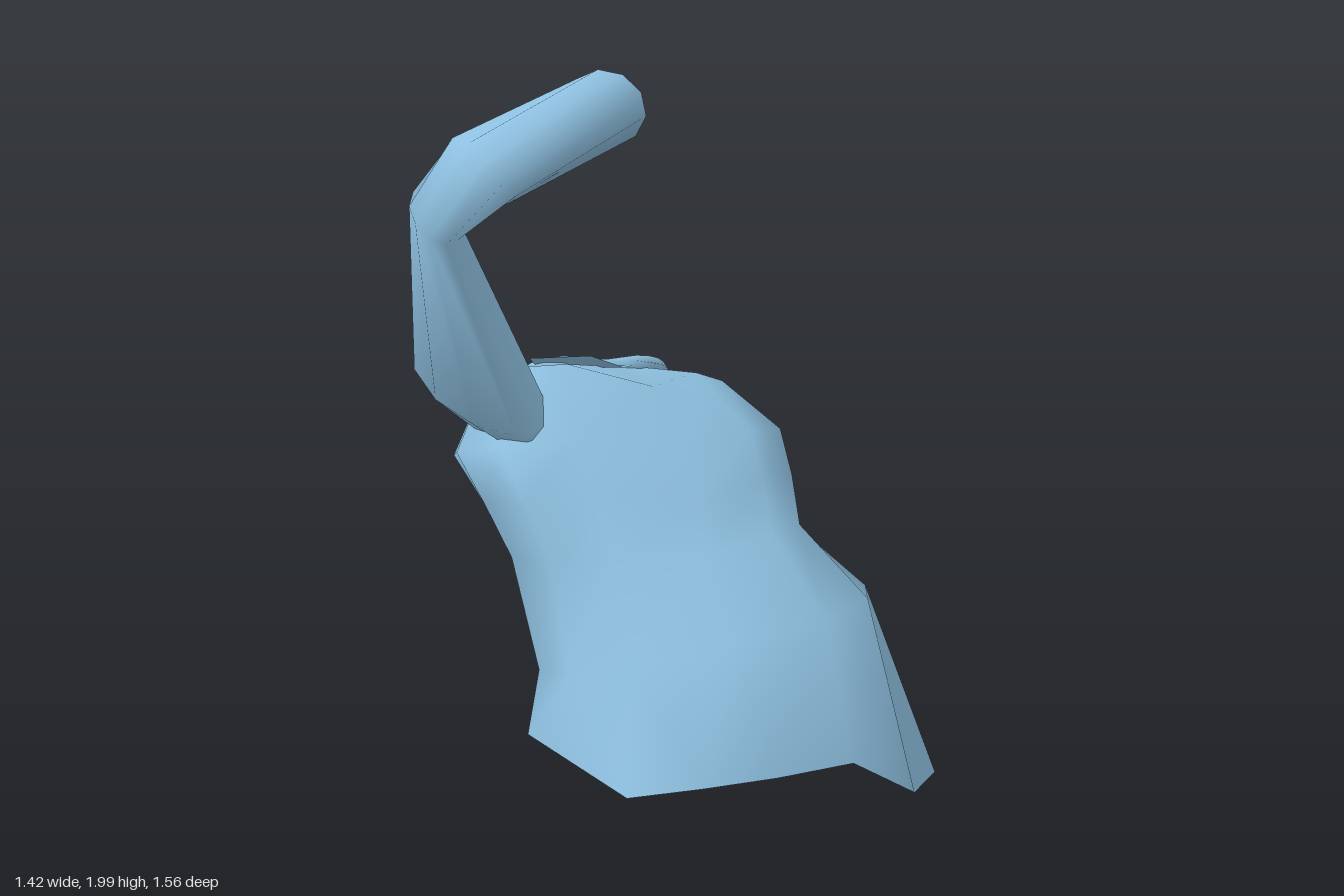
import * as THREE from 'three';

const cloth = new THREE.MeshStandardMaterial({ color: 0x8ec0e0, side: THREE.DoubleSide });
cloth.name = 'light blue cloth';

// One rounded cross-section: centre, vector to the side, vector to the front
function section(c, u, v, sides, power = 1) {
  const soft = (t) => Math.sign(t) * Math.pow(Math.abs(t), power);
  return Array.from({ length: sides }, (_, k) => {
    const a = (k / sides) * Math.PI * 2;
    const p = soft(Math.cos(a)), q = soft(Math.sin(a));
    return c.map((x, i) => x + u[i] * p + v[i] * q);
  });
}

// Skin joining closed cross-sections
function loft(name, rings) {
  const n = rings[0].length, index = [];
  for (let r = 0; r < rings.length - 1; r++) {
    for (let k = 0; k < n; k++) {
      const a = r * n + k, b = r * n + ((k + 1) % n);
      index.push(a, a + n, b, b, a + n, b + n);
    }
  }
  const geo = new THREE.BufferGeometry();
  geo.setAttribute('position', new THREE.Float32BufferAttribute(rings.flat(2), 3));
  geo.setIndex(index);
  geo.computeVertexNormals();
  const mesh = new THREE.Mesh(geo, cloth);
  mesh.name = name;
  return mesh;
}

// Flat cloth piece fanned from its first corner
function flap(name, corners) {
  const geo = new THREE.BufferGeometry();
  geo.setAttribute('position', new THREE.Float32BufferAttribute(corners.flat(), 3));
  const index = [];
  for (let i = 1; i < corners.length - 1; i++) index.push(0, i, i + 1);
  geo.setIndex(index);
  geo.computeVertexNormals();
  const mesh = new THREE.Mesh(geo, cloth);
  mesh.name = name;
  return mesh;
}

export function createModel() {
  const group = new THREE.Group();
  group.name = 'shirt';

  // Body: uneven open hem, then sections leaning back and twisting up to the neck
  const hem = [
    [0.71, 0.07, 0.32], [0.56, 0.17, 0.67], [0.40, 0.25, 0.64], [0.18, 0.26, 0.73],
    [-0.02, 0.25, 0.75], [-0.22, 0.25, 0.78], [-0.44, 0.27, 0.37], [-0.35, 0.23, 0.18],
    [-0.22, 0.14, 0.05], [0, 0.1, -0.02], [0.37, 0.005, -0.08], [0.6, 0.06, 0.04],
  ];
  const body = [
    [[0.06, 0.51, 0.25], [0.46, 0.09, -0.03], [0.02, 0.08, 0.37]],
    [[-0.05, 0.70, 0.00], [0.41, 0.00, -0.14], [0.08, 0.08, 0.39]],
    [[-0.08, 0.82, -0.08], [0.45, -0.03, -0.20], [0.08, 0.10, 0.36]],
    [[-0.12, 0.93, -0.19], [0.48, -0.05, -0.24], [0.10, 0.10, 0.31]],
    [[-0.14, 1.07, -0.33], [0.36, -0.08, -0.20], [0.06, 0.10, 0.22]],
    [[-0.15, 1.06, -0.46], [0.20, -0.02, -0.07], [0.01, 0.06, 0.12]],
  ].map(([c, u, v]) => section(c, u, v, 12, 0.85));
  // Fold running down the middle of the chest
  [0, 0.02, 0.05, 0.06, 0.06].forEach((dip, r) => {
    body[r][3][0] += dip * 0.8;
    body[r][3][1] -= dip;
  });
  body[3][0][0] -= 0.08; // tuck beside the left armhole
  group.add(loft('body', [hem, ...body]));

  // Rolled collar around the neck, notched at the front
  const neck = section([-0.16, 1.07, -0.46], [0.20, -0.02, -0.07], [0.01, 0.06, 0.12], 12, 0.85);
  neck[3][1] -= 0.02;
  neck[3][2] -= 0.02;
  const curve = new THREE.CatmullRomCurve3(neck.map((p) => new THREE.Vector3(...p)), true);
  const collar = new THREE.Mesh(new THREE.TubeGeometry(curve, 24, 0.028, 6, true), cloth);
  collar.name = 'collar';
  group.add(collar);

  // Collar points folded over the chest
  group.add(flap('rightCollarPoint', [
    [-0.34, 1.12, -0.35], [-0.37, 1.16, -0.30], [-0.20, 1.18, -0.22], [-0.10, 1.14, -0.23], [-0.06, 1.12, -0.34],
  ]));
  group.add(flap('leftCollarPoint', [
    [0.04, 1.09, -0.48], [-0.05, 1.13, -0.36], [0.02, 1.125, -0.32], [0.08, 1.08, -0.34],
  ]));

  // Raised right sleeve: shoulder, upper arm, elbow, open cuff
  const rightSleeve = [
    [[-0.36, 1.01, -0.08], [-0.17, 0, -0.08], [0.06, -0.11, 0.09]],
    [[-0.53, 1.17, 0.08], [-0.18, 0.06, 0.02], [0.03, -0.09, 0.16]],
    [[-0.645, 1.66, 0.19], [-0.068, 0.03, 0.02], [0, -0.05, 0.14]],
    [[-0.52, 1.78, 0.20], [-0.075, 0.08, -0.03], [0.03, 0.01, 0.11]],
    [[-0.155, 1.895, -0.165], [-0.078, 0.076, -0.038], [0.072, 0.072, 0.035]],
  ];
  // Bent left sleeve: shoulder, upper arm, elbow, open cuff
  const leftSleeve = [
    [[0.13, 0.92, -0.44], [0.11, 0, -0.03], [0, -0.08, 0.11]],
    [[0.14, 0.80, -0.55], [0.15, 0.02, -0.02], [-0.01, -0.04, 0.17]],
    [[0.21, 0.36, -0.69], [0.14, 0, -0.05], [0.03, 0.05, 0.08]],
    [[0.30, 0.28, -0.64], [0.115, 0, -0.06], [0.02, 0.085, 0.01]],
    [[0.54, 0.14, -0.12], [0.09, 0, -0.07], [0.02, 0.09, 0.02]],
  ];
  for (const [name, rows] of Object.entries({ rightSleeve, leftSleeve })) {
    group.add(loft(name, rows.map(([c, u, v]) => section(c, u, v, 10))));
  }
  return group;
}
